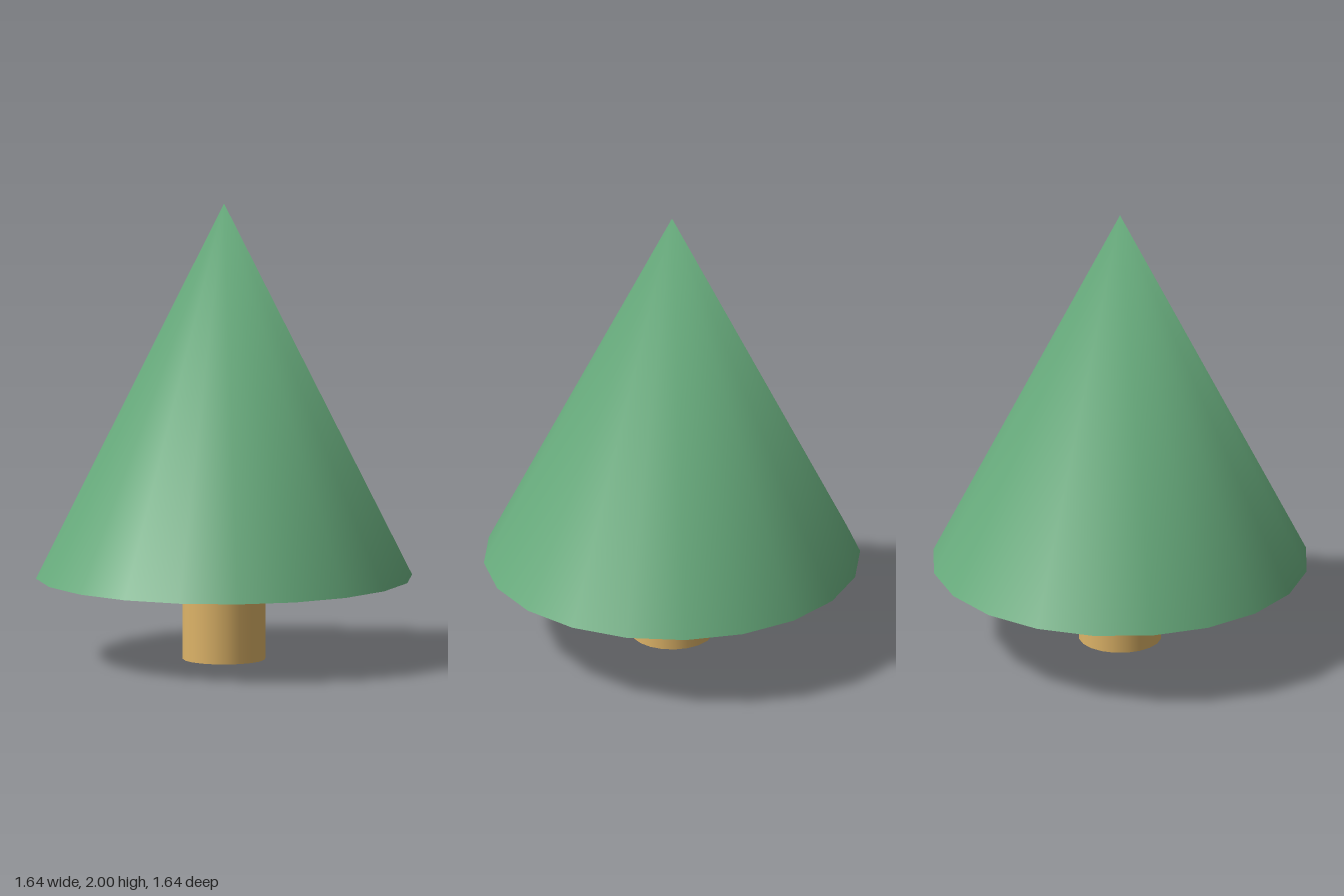
import * as THREE from 'three';

const SIDES = 20;
const TRUNK_RADIUS = 0.18;
const TRUNK_HEIGHT = 0.36;
const CROWN_RADIUS = 0.82;
const CROWN_HEIGHT = 1.64;

function addPart(group, name, geometry, color, y) {
  const mesh = new THREE.Mesh(geometry, new THREE.MeshStandardMaterial({ color }));
  mesh.name = name;
  mesh.position.y = y;
  group.add(mesh);
}

// Cone whose tip is shaded as one rounded point: all tip normals face up
function softTipCone(radius, height) {
  const geometry = new THREE.ConeGeometry(radius, height, SIDES);
  const { position, normal } = geometry.attributes;
  for (let i = 0; i < position.count; i++) {
    if (position.getY(i) > height / 2 - 1e-4) normal.setXYZ(i, 0, 1, 0);
  }
  return geometry;
}

export function createModel() {
  const tree = new THREE.Group();
  tree.name = 'coneTree';

  // Short round trunk
  const trunk = new THREE.CylinderGeometry(TRUNK_RADIUS, TRUNK_RADIUS, TRUNK_HEIGHT, SIDES);
  addPart(tree, 'trunk', trunk, 0xdeb468, TRUNK_HEIGHT / 2);

  // Single conical crown with a closed underside
  const crown = softTipCone(CROWN_RADIUS, CROWN_HEIGHT);
  addPart(tree, 'crown', crown, 0x68ac7d, TRUNK_HEIGHT + CROWN_HEIGHT / 2);

  return tree;
}
